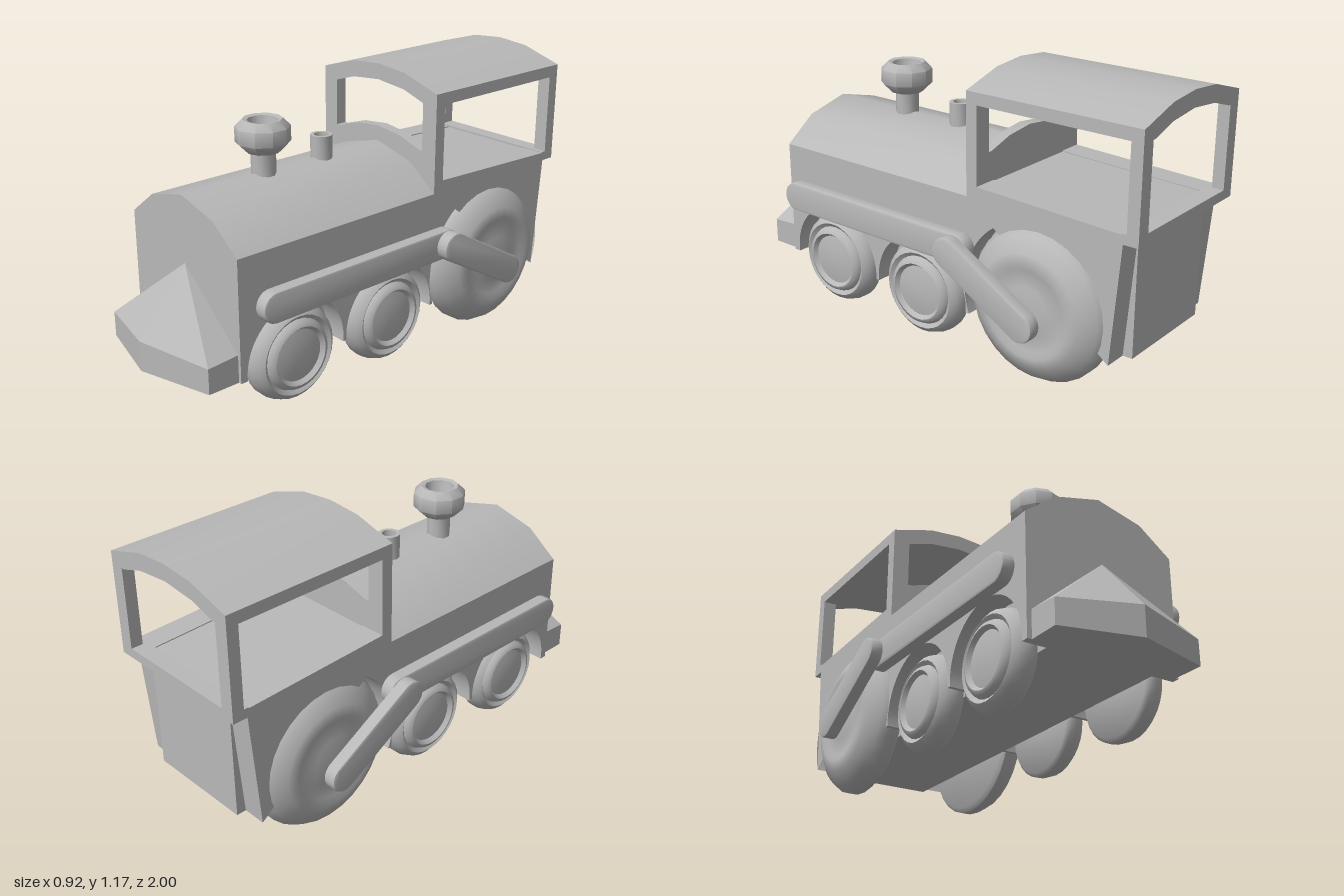
import * as THREE from 'three';
import { toCreasedNormals } from 'three/addons/utils/BufferGeometryUtils.js';
import { ConvexGeometry } from 'three/addons/geometries/ConvexGeometry.js';

const CX = -0.01; // body centre line
const HALF = 0.335; // body half width

export function createModel() {
  const train = new THREE.Group();
  train.name = 'steamTrain';
  const grey = new THREE.MeshStandardMaterial({ color: 0xb8b8b8 });
  grey.name = 'grey';

  const add = (name, geometry, x = 0, y = 0, z = 0) => {
    const mesh = new THREE.Mesh(geometry, grey);
    mesh.name = name;
    mesh.position.set(x, y, z);
    train.add(mesh);
    return mesh;
  };
  const v2 = (pts) => pts.map(([x, y]) => new THREE.Vector2(x, y));
  const box = (name, w, h, d, x, y, z) => add(name, new THREE.BoxGeometry(w, h, d), x, y, z);

  // Cross-section (x, y) swept from z0 to z1
  const sweepZ = (name, pts, z0, z1) => {
    const g = new THREE.ExtrudeGeometry(new THREE.Shape(v2(pts)), { depth: z1 - z0, bevelEnabled: false });
    return add(name, toCreasedNormals(g, 0.6), CX, 0, z0);
  };
  // Side outline (z, y) swept across x, centred on x = 0
  const sweepX = (shape, width, bevel = 0) => {
    const g = new THREE.ExtrudeGeometry(shape, {
      depth: width - 2 * bevel, curveSegments: 16, bevelEnabled: bevel > 0,
      bevelSize: bevel, bevelOffset: -bevel, bevelThickness: bevel, bevelSegments: 2,
    });
    g.rotateY(-Math.PI / 2);
    g.translate(width / 2 - bevel, 0, 0);
    return toCreasedNormals(g, 0.7);
  };

  // Chassis core between the wheels
  box('chassisCore', 0.47, 0.5, 1.72, CX, 0.43, -0.08);

  // Side panels with wheel arches
  const side = new THREE.Shape();
  side.moveTo(-0.94, 0.18);
  for (const [z, y, r] of [[-0.57, 0.3, 0.35], [0.015, 0.2, 0.24], [0.51, 0.2, 0.24]]) {
    const a = Math.asin((0.18 - y) / r);
    side.absarc(z, y, r, Math.PI - a, a, true);
  }
  for (const [z, y] of [[0.78, 0.18], [0.78, 0.68], [-0.23, 0.68], [-0.23, 0.73], [-0.94, 0.705]]) side.lineTo(z, y);
  side.closePath();
  const sideGeometry = sweepX(side, 0.105);
  for (const s of [-1, 1]) add('sidePanel', sideGeometry, CX + s * (HALF - 0.0525));

  // Boiler top
  sweepZ('boiler', [[-HALF, 0.66], [HALF, 0.66], [HALF, 0.68], [0.195, 0.785], [0, 0.835], [-0.195, 0.785], [-HALF, 0.68]], -0.24, 0.78);

  // Cab: floor, front wall, rear sill, posts, roof
  const floor = box('cabFloor', 0.48, 0.06, 0.7, CX, 0.683, -0.59);
  floor.rotation.x = -0.035;
  sweepZ('cabFrontWall', [[-HALF, 0.66], [HALF, 0.66], [HALF, 0.84], [0.24, 0.85], [0.13, 0.885], [0, 0.9], [-0.13, 0.885], [-0.24, 0.85], [-HALF, 0.84]], -0.28, -0.23);
  box('cabRearSill', 2 * HALF, 0.04, 0.07, CX, 0.69, -0.965);
  for (const s of [-1, 1]) {
    box('frontPost', 0.075, 0.4, 0.05, CX + s * 0.2975, 0.88, -0.255);
    box('rearPost', 0.06, 0.4, 0.05, CX + s * 0.305, 0.88, -0.975);
  }
  sweepZ('roof', [
    [-HALF, 1.05], [-0.26, 1.05], [-0.15, 1.085], [0, 1.1], [0.15, 1.085], [0.26, 1.05], [HALF, 1.05],
    [HALF, 1.1], [0.15, 1.155], [0, 1.168], [-0.15, 1.155], [-HALF, 1.1],
  ], -1, -0.23);

  // Chimney and steam pipe, both hollow
  const lathe = (pts, n) => toCreasedNormals(new THREE.LatheGeometry(v2(pts), n), 0.9);
  add('chimney', lathe([[0.05, 0.8], [0.05, 0.92], [0.07, 0.92], [0.11, 0.96], [0.11, 1.02], [0.08, 1.05], [0.062, 1.045], [0.055, 1.0], [0.03, 0.94], [0, 0.94]], 10), -0.015, 0, 0.385);
  add('steamPipe', lathe([[0.046, 0.8], [0.046, 0.925], [0.03, 0.925], [0.03, 0.86], [0, 0.86]], 12), -0.015, 0, 0.085);

  // Wedge-shaped cowcatcher
  const wedge = [];
  for (const [x, z, top] of [[-0.318, 0.77, 0.295], [-0.318, 0.915, 0.285], [0, 1, 0.305], [0.318, 0.915, 0.285], [0.318, 0.77, 0.295]]) {
    wedge.push(new THREE.Vector3(x, 0.18, z), new THREE.Vector3(x, top, z));
  }
  wedge.push(new THREE.Vector3(0, 0.56, 0.78), new THREE.Vector3(0, 0.56, 0.77));
  add('cowcatcher', new ConvexGeometry(wedge), -0.007);

  // Wheels: radius and distance from the centre line
  const wheel = (pts) => {
    const g = new THREE.LatheGeometry(v2(pts), 28);
    g.rotateZ(-Math.PI / 2);
    return toCreasedNormals(g, 0.9);
  };
  const smallWheel = wheel([[0, 0.24], [0.185, 0.24], [0.2, 0.255], [0.2, 0.285], [0.187, 0.32], [0.165, 0.338], [0.148, 0.325], [0.138, 0.345], [0.122, 0.352], [0.108, 0.335], [0.07, 0.342], [0, 0.345]]);
  const bigWheel = wheel([[0, 0.25], [0.295, 0.25], [0.315, 0.265], [0.315, 0.305], [0.29, 0.345], [0.23, 0.383], [0.19, 0.395], [0.165, 0.382], [0.1, 0.388], [0, 0.405]]);

  // Flat rod with round ends between two (z, y) points
  const rod = (z0, y0, z1, y1, r, width) => {
    const a = Math.atan2(y1 - y0, z1 - z0);
    const s = new THREE.Shape();
    s.absarc(z1, y1, r, a - Math.PI / 2, a + Math.PI / 2, false);
    s.absarc(z0, y0, r, a + Math.PI / 2, a + Math.PI * 1.5, false);
    return sweepX(s, width, 0.008);
  };
  const couplingRod = rod(-0.235, 0.483, 0.665, 0.483, 0.062, 0.055);
  const crankArm = rod(-0.585, 0.283, -0.23, 0.483, 0.062, 0.055);

  for (const s of [-1, 1]) {
    const turn = s < 0 ? Math.PI : 0;
    add('frontWheel', smallWheel, 0, 0.208, 0.51).rotation.y = turn;
    add('middleWheel', smallWheel, 0, 0.208, 0.015).rotation.y = turn;
    add('rearWheel', bigWheel, 0, 0.317, -0.57).rotation.y = turn;
    add('couplingRod', couplingRod, s * 0.381);
    add('crankArm', crankArm, s * 0.434);
    // Pin that carries the coupling rod
    box('rodMount', 0.06, 0.05, 0.1, s * 0.34, 0.483, 0.26);
  }
  return train;
}
